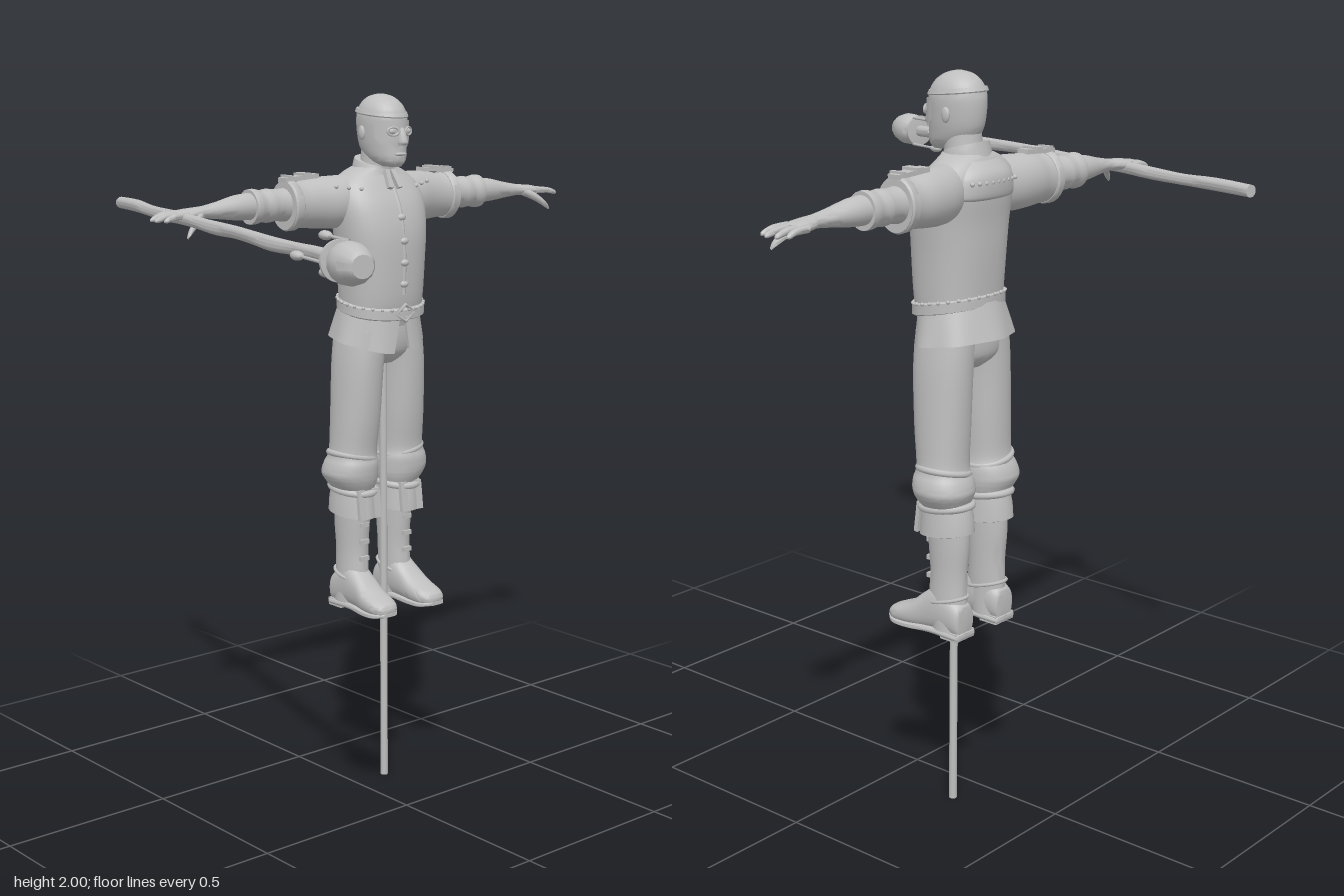
import * as THREE from 'three';
import { toCreasedNormals, mergeGeometries } from 'three/addons/utils/BufferGeometryUtils.js';

const V = (x, y, z) => new THREE.Vector3(x, y, z);

// Smooth curve through rows of numbers
function resample(rows, sub) {
  if (sub < 2) return rows;
  const out = [];
  for (let i = 0; i < rows.length - 1; i++) {
    const [p, a, b, q] = [rows[Math.max(i - 1, 0)], rows[i], rows[i + 1], rows[Math.min(i + 2, rows.length - 1)]];
    for (let k = 0; k < sub; k++) {
      const t = k / sub;
      out.push(a.map((v, j) => 0.5 * (2 * v + (b[j] - p[j]) * t + (2 * p[j] - 5 * v + 4 * b[j] - q[j]) * t * t
        + (3 * v - p[j] - 3 * b[j] + q[j]) * t * t * t)));
    }
  }
  out.push(rows[rows.length - 1]);
  return out;
}

// Closed skin over oval sections. Rows: axis y [y,cx,cz,rx,rz], axis x [x,cz,cy,rz,ry], axis z [z,cy,cx,ry,rx]
function loft(rows, { axis = 'y', seg = 28, sub = 4, pow = 2, tilt = 0, crease = 0.75 } = {}) {
  const pos = [], idx = [], rings = resample(rows, sub);
  const put = (t, u, v) => {
    const p = axis === 'y' ? [u, t, v] : axis === 'x' ? [t, v, u] : [v, u, t];
    p[1] -= tilt * (p[2] + 0.24);
    pos.push(...p);
  };
  const pw = c => Math.sign(c) * Math.abs(c) ** (2 / pow);
  for (const [t, cu, cv, ru, rv] of rings)
    for (let j = 0; j < seg; j++) {
      const a = j / seg * Math.PI * 2;
      put(t, cu + ru * pw(Math.cos(a)), cv + rv * pw(Math.sin(a)));
    }
  const n = rings.length, last = rings[n - 1];
  put(rings[0][0], rings[0][1], rings[0][2]);
  put(last[0], last[1], last[2]);
  for (let j = 0; j < seg; j++) {
    const k = (j + 1) % seg;
    for (let i = 0; i < n - 1; i++) {
      const a = i * seg + j, b = i * seg + k;
      idx.push(a, a + seg, b, b, a + seg, b + seg);
    }
    idx.push(n * seg, j, k, n * seg + 1, (n - 1) * seg + k, (n - 1) * seg + j);
  }
  const g = new THREE.BufferGeometry();
  g.setAttribute('position', new THREE.Float32BufferAttribute(pos, 3));
  g.setIndex(idx);
  return toCreasedNormals(g, crease);
}

// Copy mirrored in x with its corners put back in order
function mirror(geo) {
  const g = geo.index ? geo.toNonIndexed() : geo.clone();
  g.scale(-1, 1, 1);
  for (const at of Object.values(g.attributes))
    for (let i = 0; i < at.count; i += 3)
      for (let c = 0; c < at.itemSize; c++) {
        const t = at.getComponent(i + 1, c);
        at.setComponent(i + 1, c, at.getComponent(i + 2, c));
        at.setComponent(i + 2, c, t);
      }
  return g;
}

const ball = (x, y, z, rx, ry = rx, rz = rx) => new THREE.SphereGeometry(1, 12, 8).scale(rx, ry, rz).translate(x, y, z);
const box = (x, y, z, w, h, d, rx = 0, rz = 0) => new THREE.BoxGeometry(w, h, d).rotateX(rx).rotateZ(rz).translate(x, y, z);
const tube = (pts, r, n = 10, s = 8) => new THREE.TubeGeometry(new THREE.CatmullRomCurve3(pts), n, r, s);
const merge = list => mergeGeometries(list.map(g => {
  const h = g.index ? g.toNonIndexed() : g;
  h.deleteAttribute('uv');
  return h;
}));

export function createModel() {
  const grey = new THREE.MeshStandardMaterial({ color: 0xbfbfbf, side: THREE.DoubleSide });
  grey.name = 'plain grey';
  const model = new THREE.Group();
  const figure = new THREE.Group();
  figure.name = 'figure';
  figure.position.x = 0.108;
  model.add(figure);
  const add = (name, geo, parent = figure) => {
    const m = new THREE.Mesh(geo, grey);
    m.name = name;
    parent.add(m);
  };
  const both = (name, geo) => { add(name + 'Left', geo); add(name + 'Right', mirror(geo)); };

  // Support pole
  add('pole', new THREE.CylinderGeometry(0.011, 0.011, 1.3, 12).translate(0, 0.65, -0.225));

  // Head and neck
  add('head', loft([[1.803, 0, -0.185, 0.022, 0.03], [1.82, 0, -0.205, 0.044, 0.06], [1.85, 0, -0.221, 0.055, 0.075],
    [1.89, 0, -0.227, 0.061, 0.08], [1.94, 0, -0.228, 0.063, 0.08], [1.972, 0, -0.23, 0.052, 0.065],
    [1.992, 0, -0.232, 0.031, 0.039], [2, 0, -0.232, 0.006, 0.008]], { crease: 1.5 }));
  add('neck', loft([[1.74, 0, -0.26, 0.06, 0.055], [1.79, 0, -0.25, 0.05, 0.05], [1.85, 0, -0.243, 0.046, 0.05]]));
  add('headband', loft([[1.944, 0, -0.228, 0.064, 0.082], [1.947, 0, -0.228, 0.066, 0.084], [1.957, 0, -0.228, 0.063, 0.08]], { sub: 1, tilt: 0.1 }));
  both('ear', ball(0.062, 1.895, -0.24, 0.007, 0.02, 0.013));

  // Face mask: a curved plate with a zigzag lower edge
  const mask = new THREE.PlaneGeometry(1, 1, 32, 6), mp = mask.attributes.position;
  for (let i = 0; i < mp.count; i++) {
    const u = mp.getX(i) * 2, v = mp.getY(i) + 0.5, a = u * 1.15;
    const low = 1.852 + 0.012 * Math.abs(((u * 2 + 10) % 1) - 0.5) * 2 + 0.02 * u * u;
    const y = low + (1.928 - low) * v;
    mp.setXYZ(i, 0.064 * Math.sin(a), y, -0.226 + (0.085 - 0.1 * Math.max(0, 1.875 - y)) * Math.cos(a));
  }
  mask.computeVertexNormals();
  add('mask', mask);
  add('nose', loft([[1.862, 0, -0.145, 0.013, 0.017], [1.872, 0, -0.143, 0.014, 0.02], [1.91, 0, -0.146, 0.007, 0.01]], { seg: 12 }));
  add('mouth', ball(0, 1.838, -0.147, 0.022, 0.005, 0.008));
  both('eyeRim', new THREE.TorusGeometry(0.014, 0.0035, 6, 18).scale(1.15, 0.8, 1).rotateY(0.4).translate(0.027, 1.9, -0.147));
  both('eye', ball(0.027, 1.9, -0.15, 0.012, 0.008, 0.006));

  // Tunic
  add('tunic', loft([[1.36, 0, -0.243, 0.117, 0.088], [1.43, 0, -0.235, 0.122, 0.098], [1.55, 0, -0.235, 0.13, 0.104],
    [1.63, 0, -0.238, 0.139, 0.103], [1.7, 0, -0.25, 0.145, 0.096], [1.75, 0, -0.262, 0.135, 0.08],
    [1.783, 0, -0.265, 0.1, 0.063], [1.8, 0, -0.262, 0.062, 0.056]], { pow: 2.4, seg: 36 }));
  add('backYoke', loft([[1.69, 0, -0.27, 0.115, 0.078], [1.7, 0, -0.272, 0.12, 0.088], [1.75, 0, -0.275, 0.108, 0.086],
    [1.785, 0, -0.268, 0.078, 0.065]], { pow: 2.4 }));
  add('collar', loft([[1.77, 0, -0.259, 0.066, 0.064], [1.795, 0, -0.258, 0.063, 0.06], [1.812, 0, -0.258, 0.058, 0.057]], { tilt: 0.25 }));
  both('collarTab', box(0.014, 1.768, -0.184, 0.016, 0.055, 0.012, -0.5, 0.15));
  add('placket', tube([V(0, 1.76, -0.188), V(0, 1.68, -0.15), V(0, 1.57, -0.134), V(0, 1.45, -0.136)], 0.006, 14));
  add('buttons', merge([[1.665, -0.145], [1.6, -0.134], [1.54, -0.131], [1.48, -0.134]].map(([y, z]) => ball(0, y, z, 0.014, 0.01, 0.01))));
  const rivets = [];
  for (let i = 0; i < 9; i++) {
    const x = (i - 4) * 0.021;
    rivets.push(ball(x, 1.735, -0.359 + x * x * 1.8, 0.006));
  }
  for (const s of [-1, 1]) for (let i = 0; i < 3; i++) rivets.push(ball(s * (0.1 + i * 0.033), 1.745 + i * 0.004, -0.197 - i * 0.014, 0.006));
  add('rivets', merge(rivets));

  // Tunic skirt, slit at the front
  const skirt = new THREE.PlaneGeometry(1, 1, 48, 6), sp = skirt.attributes.position;
  for (let i = 0; i < sp.count; i++) {
    const u = sp.getX(i), k = 0.5 - sp.getY(i), gap = 0.02 + 0.2 * k;
    const a = Math.PI / 2 - u * (Math.PI * 2 - 2 * gap) + Math.PI, f = Math.sin(a);
    const fold = 1 + 0.025 * k * Math.sin(a * 7);
    sp.setXYZ(i, Math.cos(a) * (0.121 + 0.025 * k) * fold,
      1.425 - 0.02 * f - k * (0.105 + 0.022 * Math.max(f, 0) ** 2 - 0.006 * f),
      -0.24 - 0.013 * k + f * (0.096 + 0.022 * k) * fold);
  }
  skirt.computeVertexNormals();
  add('skirt', skirt);

  // Belt with a diamond buckle and studs
  add('belt', loft([[1.396, 0, -0.236, 0.125, 0.1], [1.4, 0, -0.236, 0.13, 0.106], [1.426, 0, -0.236, 0.13, 0.106],
    [1.43, 0, -0.236, 0.125, 0.1]], { sub: 1, tilt: 0.17, pow: 2.2 }));
  add('buckle', new THREE.TorusGeometry(0.026, 0.006, 6, 4).scale(1.3, 0.9, 1).translate(0, 1.4, -0.128));
  const studs = [];
  for (let i = 0; i < 28; i++) {
    const a = (i + 0.5) / 28 * Math.PI * 2, z = -0.236 + 0.108 * Math.sin(a);
    studs.push(ball(0.132 * Math.cos(a), 1.428 - 0.17 * (z + 0.24), z, 0.005));
  }
  add('beltStuds', merge(studs));
  add('beltTail', box(0.012, 1.345, -0.128, 0.016, 0.09, 0.008, -0.05, 0.12));

  // Sleeves, arms and shoulder straps
  both('sleeve', loft([[0.05, -0.265, 1.715, 0.05, 0.068], [0.13, -0.275, 1.707, 0.066, 0.073], [0.2, -0.285, 1.707, 0.061, 0.07],
    [0.25, -0.285, 1.705, 0.055, 0.064], [0.285, -0.285, 1.705, 0.056, 0.065], [0.302, -0.285, 1.705, 0.057, 0.066]], { axis: 'x' }));
  both('sleeveBand', loft([[0.272, -0.285, 1.705, 0.057, 0.066], [0.276, -0.285, 1.705, 0.061, 0.069], [0.296, -0.285, 1.705, 0.061, 0.07],
    [0.3, -0.285, 1.705, 0.057, 0.066]], { axis: 'x', sub: 1 }));
  both('lowerSleeve', loft([[0.28, -0.287, 1.706, 0.046, 0.048], [0.33, -0.288, 1.708, 0.042, 0.043], [0.36, -0.288, 1.708, 0.045, 0.046],
    [0.38, -0.288, 1.708, 0.042, 0.043], [0.405, -0.287, 1.708, 0.046, 0.048], [0.42, -0.287, 1.708, 0.044, 0.047]], { axis: 'x' }));
  both('forearm', loft([[0.4, -0.286, 1.71, 0.038, 0.037], [0.46, -0.285, 1.709, 0.036, 0.034], [0.52, -0.282, 1.706, 0.028, 0.024],
    [0.57, -0.28, 1.704, 0.023, 0.017], [0.6, -0.282, 1.702, 0.031, 0.016], [0.64, -0.286, 1.7, 0.036, 0.014],
    [0.658, -0.286, 1.698, 0.033, 0.01]], { axis: 'x', seg: 20 }));
  const fingers = [[-0.32, -0.323, 0.705], [-0.3, -0.303, 0.722], [-0.277, -0.275, 0.726], [-0.257, -0.25, 0.714]].map(([z0, z1, x]) =>
    loft([[0.635, z0, 1.7, 0.009, 0.01], [(0.645 + x) / 2, (z0 + z1) / 2, 1.699, 0.0085, 0.009], [x - 0.008, z1, 1.692, 0.007, 0.007],
      [x, z1, 1.69, 0.003, 0.003]], { axis: 'x', seg: 10, sub: 3 }));
  both('fingers', merge(fingers));
  both('thumb', loft([[0.585, -0.267, 1.7, 0.012, 0.012], [0.62, -0.244, 1.682, 0.012, 0.012], [0.648, -0.23, 1.66, 0.009, 0.009],
    [0.66, -0.226, 1.647, 0.004, 0.004]], { axis: 'x', seg: 10, sub: 3 }));
  both('shoulderStrap', box(0.25, 1.778, -0.285, 0.115, 0.012, 0.034, 0, -0.06));
  both('strapBuckle', merge([box(0.235, 1.785, -0.285, 0.026, 0.012, 0.048), box(0.29, 1.78, -0.285, 0.012, 0.014, 0.042)]));

  // Trousers
  add('hips', loft([[1.25, 0, -0.25, 0.03, 0.05], [1.28, 0, -0.25, 0.095, 0.08], [1.33, 0, -0.247, 0.122, 0.088], [1.4, 0, -0.245, 0.115, 0.085]], { pow: 2.4 }));
  both('trouserLeg', loft([[1.35, 0.064, -0.248, 0.062, 0.086], [1.25, 0.076, -0.248, 0.064, 0.083], [1.1, 0.082, -0.252, 0.066, 0.075],
    [1.0, 0.087, -0.258, 0.066, 0.068], [0.965, 0.09, -0.262, 0.075, 0.078], [0.935, 0.092, -0.266, 0.078, 0.081],
    [0.91, 0.087, -0.264, 0.07, 0.073], [0.88, 0.08, -0.264, 0.052, 0.058]].reverse(), { pow: 2.2 }));
  both('kneeFold', new THREE.TorusGeometry(0.066, 0.009, 8, 28).rotateX(Math.PI / 2).rotateZ(0.2).translate(0.088, 0.985, -0.261));

  // Boots: flared cuff, shaft, foot, sole and straps
  both('bootCuff', loft([[0.808, 0.081, -0.268, 0.05, 0.066], [0.812, 0.081, -0.268, 0.062, 0.079], [0.85, 0.081, -0.268, 0.06, 0.076],
    [0.892, 0.08, -0.266, 0.056, 0.068], [0.897, 0.08, -0.266, 0.046, 0.055]], { sub: 1, tilt: 0.12 }));
  both('cuffRoll', new THREE.TorusGeometry(0.058, 0.01, 8, 28).scale(1, 1.22, 1).rotateX(Math.PI / 2 + 0.12).translate(0.081, 0.888, -0.266));
  both('cuffTongue', merge([0.052, 0.107].map(x => box(x, 0.85, -0.196, 0.024, 0.085, 0.012, -0.12))));
  both('bootShaft', loft([[0.55, 0.082, -0.28, 0.042, 0.05], [0.62, 0.081, -0.272, 0.041, 0.057], [0.7, 0.079, -0.273, 0.041, 0.054],
    [0.78, 0.079, -0.273, 0.044, 0.06], [0.85, 0.079, -0.27, 0.046, 0.062]]));
  both('bootFoot', loft([[-0.334, 0.578, 0.083, 0.035, 0.026], [-0.325, 0.582, 0.083, 0.047, 0.037], [-0.26, 0.603, 0.083, 0.066, 0.042],
    [-0.215, 0.59, 0.084, 0.054, 0.043], [-0.17, 0.571, 0.087, 0.036, 0.046], [-0.125, 0.561, 0.088, 0.025, 0.044],
    [-0.1, 0.557, 0.089, 0.018, 0.032], [-0.092, 0.555, 0.089, 0.01, 0.018]], { axis: 'z', pow: 2.5, seg: 24 }));
  both('bootSole', loft([[-0.337, 0.541, 0.083, 0.008, 0.03], [-0.325, 0.541, 0.083, 0.009, 0.04], [-0.24, 0.543, 0.083, 0.009, 0.041],
    [-0.17, 0.54, 0.087, 0.008, 0.047], [-0.12, 0.541, 0.088, 0.007, 0.046], [-0.089, 0.545, 0.089, 0.005, 0.022]], { axis: 'z', pow: 5, seg: 24 }));
  both('bootHeel', box(0.083, 0.54, -0.305, 0.074, 0.022, 0.056));
  both('bootStraps', merge([0.785, 0.735, 0.685].map(y => box(0.081, y, -0.216, 0.03, 0.013, 0.012))));
  both('ankleBand', new THREE.TorusGeometry(0.043, 0.005, 6, 28).scale(1, 1.36, 1).rotateX(Math.PI / 2 + 0.25).translate(0.081, 0.63, -0.272));

  // Staff, built along +z from its head and then turned into place
  const staff = new THREE.Group();
  staff.name = 'staff';
  staff.position.set(-0.775, 1.683, 0.66);
  staff.rotation.set(0.007, -0.258, 0, 'YXZ');
  model.add(staff);
  const shaft = [];
  for (let i = 0; i <= 12; i++) {
    const r = 0.0165 + 0.0012 * Math.sin(i * 2.3);
    shaft.push([-1.488 + i * 0.1257, 0.002 * Math.sin(i * 1.9), 0.003 * Math.sin(i * 1.3), r, r]);
  }
  add('staffShaft', loft(shaft, { axis: 'z', seg: 14, sub: 3 }), staff);
  add('staffHead', loft([[0.005, 0, 0, 0.024, 0.024], [0.02, 0, 0, 0.036, 0.036], [0.05, 0, 0, 0.048, 0.048], [0.085, 0, 0, 0.046, 0.046],
    [0.115, 0, 0, 0.035, 0.035], [0.128, 0, 0, 0.026, 0.026]], { axis: 'z', seg: 14 }), staff);
  add('staffCollar', loft([[0.004, 0, 0, 0.03, 0.03], [0.006, 0, 0, 0.047, 0.047], [0.014, 0, 0, 0.047, 0.047], [0.016, 0, 0, 0.03, 0.03]],
    { axis: 'z', sub: 1 }), staff);
  const prongs = [];
  for (const a of [Math.PI, Math.PI / 3, -Math.PI / 3]) {
    const x = 0.046 * Math.cos(a), y = 0.048 * Math.sin(a);
    prongs.push(tube([V(x, y, 0.01), V(x, y, -0.05), V(x, y, -0.11)], 0.004, 4, 6), ball(x, y, -0.115, 0.014, 0.011, 0.026));
  }
  add('staffProngs', merge(prongs), staff);
  return model;
}
